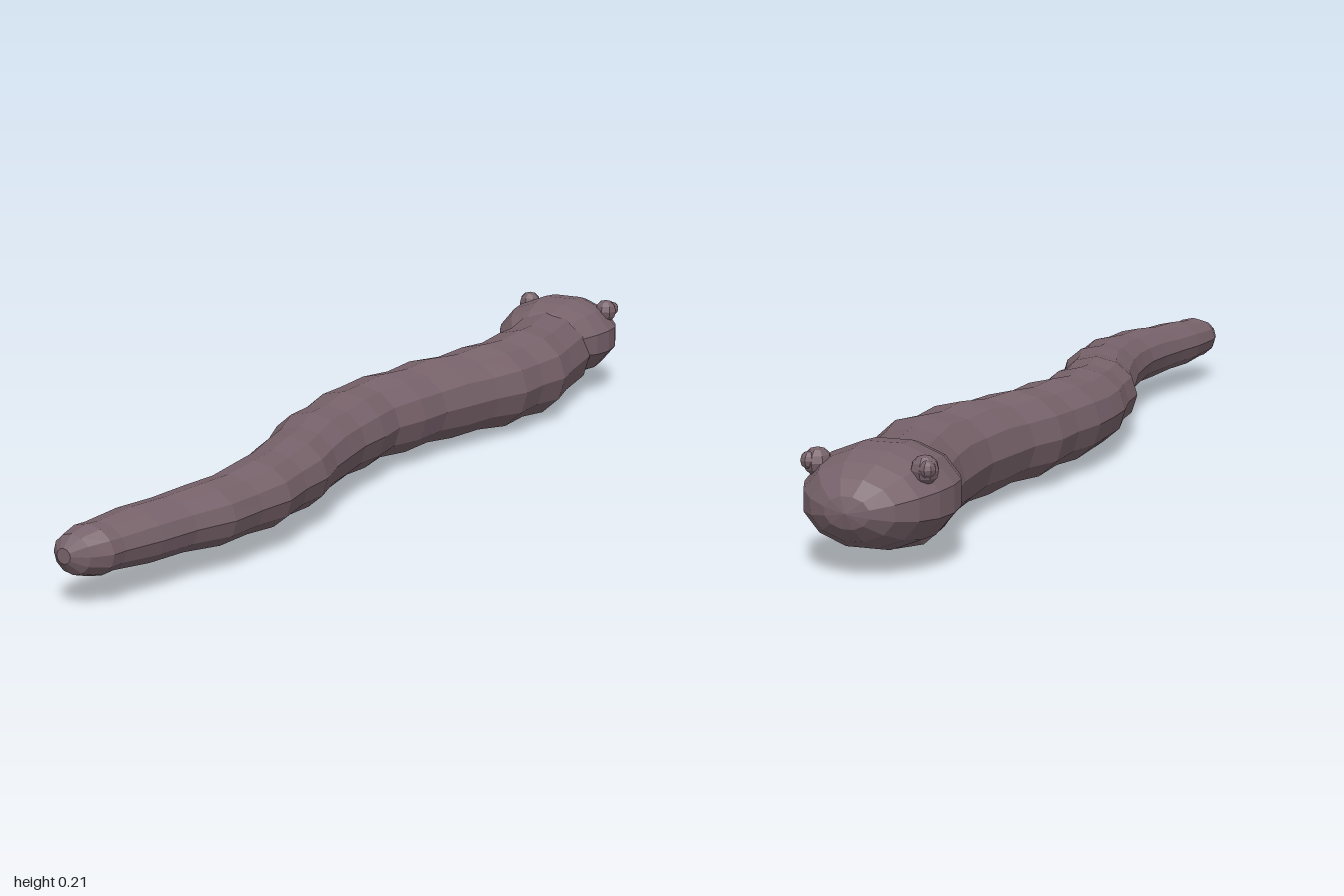
import * as THREE from 'three';

const skin = new THREE.MeshStandardMaterial({ color: 0x77626a, flatShading: true, side: THREE.DoubleSide });
skin.name = 'dull mauve skin';

// Winding centre line: [z, x, half width]
const spine = [
  [-0.78, 0.0, 0.1], [-0.7, 0.018, 0.104], [-0.55, 0.04, 0.104], [-0.4, 0.028, 0.102],
  [-0.2, -0.027, 0.097], [0, -0.055, 0.094], [0.2, -0.035, 0.088], [0.4, 0.017, 0.081],
  [0.55, 0.037, 0.075], [0.7, 0.024, 0.069], [0.8, -0.006, 0.065], [0.92, -0.029, 0.058], [1, -0.047, 0.05],
];

function sampleSpine(z) {
  let i = 0;
  while (i < spine.length - 2 && spine[i + 1][0] < z) i++;
  const a = spine[i], b = spine[i + 1];
  const t = (z - a[0]) / (b[0] - a[0]);
  const s = t * t * (3 - 2 * t) * 0.4 + t * 0.6;
  return { x: a[1] + (b[1] - a[1]) * s, r: a[2] + (b[2] - a[2]) * t };
}

// Skins rings of 12 points along z, closed at both ends
function loft(rings, sides = 12) {
  const pos = [], index = [];
  rings.forEach(({ x, z, rx, ry }) => {
    for (let j = 0; j < sides; j++) {
      const a = (j / sides) * Math.PI * 2;
      pos.push(x + Math.cos(a) * rx, 0.1 + Math.sin(a) * ry, z);
    }
  });
  for (let i = 0; i < rings.length - 1; i++) {
    for (let j = 0; j < sides; j++) {
      const k = (j + 1) % sides;
      const a = i * sides + j, b = i * sides + k;
      index.push(a, b, b + sides, a, b + sides, a + sides);
    }
  }
  const last = (rings.length - 1) * sides;
  for (let j = 1; j < sides - 1; j++) {
    index.push(0, j + 1, j, last, last + j, last + j + 1);
  }
  const geo = new THREE.BufferGeometry();
  geo.setAttribute('position', new THREE.Float32BufferAttribute(pos, 3));
  geo.setIndex(index);
  geo.computeVertexNormals();
  return geo;
}

function ball(name, r, x, y, z) {
  const mesh = new THREE.Mesh(new THREE.SphereGeometry(r, 8, 6), skin);
  mesh.name = name;
  mesh.position.set(x, y, z);
  return mesh;
}

export function createModel() {
  const model = new THREE.Group();
  model.name = 'worm';

  // Body: alternating wide and narrow rings give the segmented ripple
  const rings = [{ x: 0, z: -0.785, rx: 0.085, ry: 0.078 }];
  for (let i = 0; i <= 21; i++) {
    const z = -0.705 + i * 0.0775 - (i === 0 ? 0.065 : 0);
    const { x, r } = sampleSpine(z);
    const rx = r * (i % 2 ? 0.965 : 1.03);
    rings.push({ x, z, rx, ry: rx * (0.9 - 0.005 * i) });
  }
  // Blunt tail tip
  for (const [x, z, rx, ry] of [[-0.032, 0.95, 0.054, 0.046], [-0.041, 0.982, 0.038, 0.036], [-0.047, 0.998, 0.014, 0.014]]) {
    rings.push({ x, z, rx, ry });
  }
  const body = new THREE.Mesh(loft(rings), skin);
  body.name = 'body';
  model.add(body);

  // Head: flattened ball with its poles along z
  const headGeo = new THREE.SphereGeometry(1, 12, 10);
  headGeo.rotateY(Math.PI / 12);
  headGeo.rotateX(-Math.PI / 2);
  headGeo.scale(0.132, 0.091, 0.157);
  const head = new THREE.Mesh(headGeo, skin);
  head.name = 'head';
  head.position.set(-0.008, 0.122, -0.843);
  model.add(head);

  // Eyes with small raised pupils
  for (const side of [-1, 1]) {
    const eye = new THREE.Group();
    eye.name = side > 0 ? 'leftEye' : 'rightEye';
    eye.position.set(-0.008 + side * 0.096, 0.18, -0.893);
    eye.add(ball('eyeball', 0.025, 0, 0, 0));
    eye.add(ball('pupil', 0.015, side * 0.01, 0.004, -0.013));
    model.add(eye);
  }
  return model;
}
